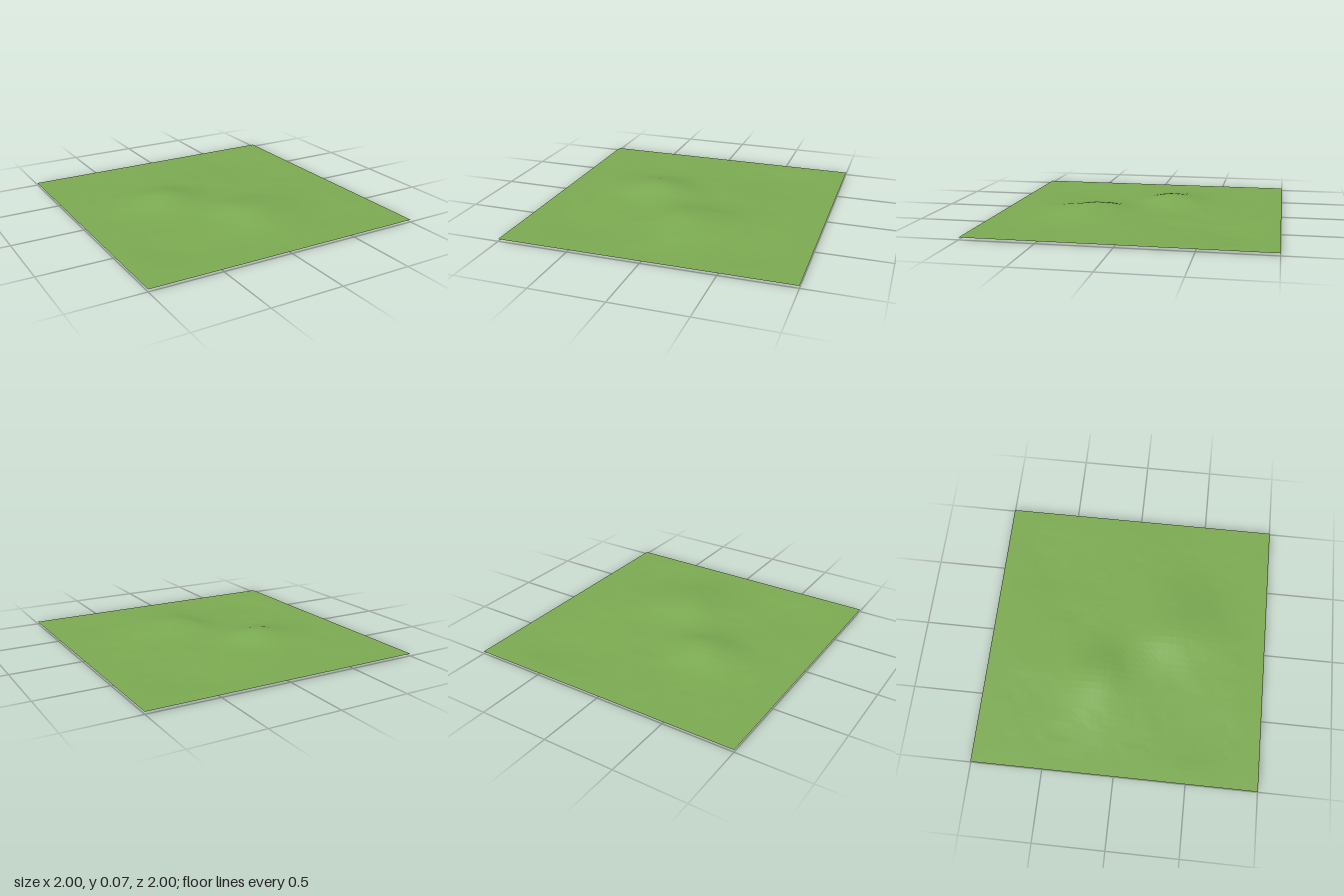
import * as THREE from 'three';

const SIZE = 2, SEGMENTS = 40, BASE = 0.022;

// Rounded mounds and hollows: centre, height, spread to -x, +x, -z, +z
const features = [
  { x: -0.3, z: -0.17, h: 0.055, w: 0.21, e: 0.17, n: 0.16, s: 0.15 },
  { x: 0.1, z: 0.33, h: 0.053, w: 0.16, e: 0.25, n: 0.19, s: 0.24 },
  { x: 0.57, z: -0.63, h: -0.015, w: 0.22, e: 0.18, n: 0.17, s: 0.2 },
  { x: -0.62, z: 0.6, h: -0.015, w: 0.18, e: 0.22, n: 0.22, s: 0.17 },
  { x: 0.55, z: 0.62, h: -0.01, w: 0.18, e: 0.16, n: 0.16, s: 0.16 },
];

// Repeatable value for each lattice point, from -1 to 1
function hash(i, j) {
  const v = Math.sin(i * 127.1 + j * 311.7) * 43758.5453;
  return 2 * (v - Math.floor(v)) - 1;
}

// Smoothly interpolated lattice noise
function noise(x, z) {
  const i = Math.floor(x), j = Math.floor(z);
  const u = THREE.MathUtils.smoothstep(x - i, 0, 1);
  const v = THREE.MathUtils.smoothstep(z - j, 0, 1);
  const lerp = THREE.MathUtils.lerp;
  return lerp(
    lerp(hash(i, j), hash(i + 1, j), u),
    lerp(hash(i, j + 1), hash(i + 1, j + 1), u), v);
}

function heightAt(x, z) {
  let y = 0.003 * noise(x * 4, z * 4) + 0.0018 * noise(x * 11 + 5, z * 11 + 9);
  for (const f of features) {
    const dx = (x - f.x) / (x < f.x ? f.w : f.e);
    const dz = (z - f.z) / (z < f.z ? f.n : f.s);
    y += f.h * Math.exp(-0.5 * (dx * dx + dz * dz));
  }
  // Settle to a level border
  const border = 1 - Math.max(Math.abs(x), Math.abs(z));
  return BASE + y * THREE.MathUtils.smoothstep(border, 0, 0.25);
}

export function createModel() {
  const group = new THREE.Group();
  group.name = 'terrain';

  // Gently rolling ground sheet
  const geometry = new THREE.PlaneGeometry(SIZE, SIZE, SEGMENTS, SEGMENTS);
  geometry.rotateX(-Math.PI / 2);
  const p = geometry.attributes.position;
  for (let i = 0; i < p.count; i++) p.setY(i, heightAt(p.getX(i), p.getZ(i)));
  geometry.computeBoundingBox();
  geometry.translate(0, -geometry.boundingBox.min.y, 0);
  geometry.computeVertexNormals();

  const grass = new THREE.MeshStandardMaterial({
    color: 0x7cab52, flatShading: true, side: THREE.DoubleSide,
  });
  const ground = new THREE.Mesh(geometry, grass);
  ground.name = 'grassGround';
  group.add(ground);
  return group;
}
